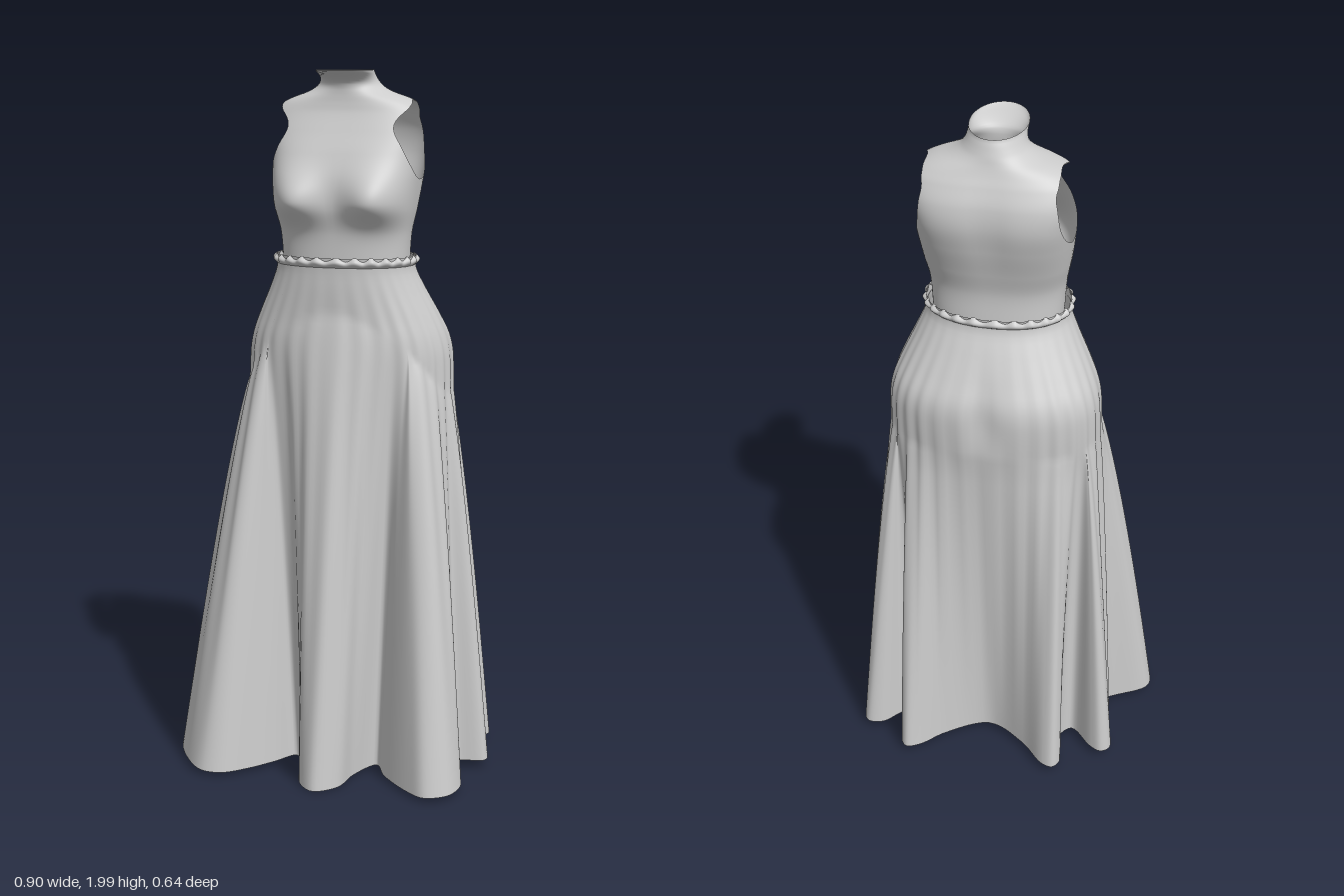
import * as THREE from 'three';
import { mergeVertices } from 'three/addons/utils/BufferGeometryUtils.js';

const CX = 0.02; // middle of the body
const spow = (v, p) => Math.sign(v) * Math.abs(v) ** p;
const bell = (v) => Math.exp(-v * v);

// Smooth lookup in a table of rows [y, ...values]
function lookup(table, y) {
  let i = 0;
  while (i < table.length - 2 && y > table[i + 1][0]) i++;
  const a = table[i], b = table[i + 1];
  const p = table[Math.max(i - 1, 0)], n = table[Math.min(i + 2, table.length - 1)];
  const h = b[0] - a[0], t = THREE.MathUtils.clamp((y - a[0]) / h, 0, 1);
  return a.slice(1).map((v, k) => {
    const c = k + 1;
    const ma = (b[c] - p[c]) / (b[0] - p[0]) * h, mb = (n[c] - a[c]) / (n[0] - a[0]) * h;
    return v * (2 * t ** 3 - 3 * t * t + 1) + ma * (t ** 3 - 2 * t * t + t)
      + b[c] * (3 * t * t - 2 * t ** 3) + mb * (t ** 3 - t * t);
  });
}

// Rounded body outline from [half width, front z, back z, squareness]
function outline([hw, zf, zb, e], a) {
  return [CX + hw * spow(Math.cos(a), 2 / e), (zf + zb) / 2 + (zf - zb) / 2 * spow(Math.sin(a), 2 / e)];
}

// Closed loft; parts where cut(p) is negative are trimmed away cleanly
function loft(rows, cols, point, cut = () => 1) {
  const grid = [];
  for (let i = 0; i <= rows; i++) {
    grid.push(Array.from({ length: cols }, (_, j) => new THREE.Vector3(...point(i / rows, j))));
  }
  const out = [];
  const addTri = (tri) => {
    const d = tri.map(cut), poly = [];
    tri.forEach((p, k) => {
      const m = (k + 1) % 3;
      if (d[k] >= 0) poly.push(p);
      if ((d[k] >= 0) !== (d[m] >= 0)) poly.push(p.clone().lerp(tri[m], d[k] / (d[k] - d[m])));
    });
    for (let k = 1; k + 1 < poly.length; k++) {
      for (const p of [poly[0], poly[k], poly[k + 1]]) out.push(p.x, p.y, p.z);
    }
  };
  for (let i = 0; i < rows; i++) {
    for (let j = 0; j < cols; j++) {
      const n = (j + 1) % cols;
      addTri([grid[i][j], grid[i + 1][j], grid[i + 1][n]]);
      addTri([grid[i][j], grid[i + 1][n], grid[i][n]]);
    }
  }
  const geo = new THREE.BufferGeometry();
  geo.setAttribute('position', new THREE.Float32BufferAttribute(out, 3));
  const merged = mergeVertices(geo, 1e-5);
  merged.computeVertexNormals();
  return merged;
}

// y, half width, front z, back z, squareness
const BODICE = [
  [1.46, 0.18, 0.112, -0.122, 2.3], [1.55, 0.186, 0.115, -0.122, 2.4],
  [1.62, 0.198, 0.125, -0.14, 2.7], [1.7, 0.207, 0.122, -0.165, 3],
  [1.77, 0.212, 0.1, -0.18, 3.3], [1.83, 0.22, 0.072, -0.175, 3.3],
  [1.88, 0.217, 0.05, -0.155, 2.9], [1.905, 0.195, 0.044, -0.142, 2.6],
  [1.92, 0.165, 0.042, -0.135, 2.4], [1.935, 0.122, 0.041, -0.129, 2.2],
  [1.95, 0.095, 0.042, -0.124, 2], [1.965, 0.082, 0.05, -0.118, 2],
  [1.98, 0.077, 0.08, -0.112, 2], [1.992, 0.077, 0.125, -0.106, 2],
];

const HIPS = [
  [0, 0.3, 0.13, -0.225, 2.3], [1.0, 0.297, 0.135, -0.228, 2.3], [1.2, 0.293, 0.135, -0.24, 2.4],
  [1.26, 0.282, 0.135, -0.234, 2.4], [1.32, 0.258, 0.135, -0.207, 2.3], [1.4, 0.22, 0.137, -0.168, 2.2],
  [1.455, 0.198, 0.137, -0.142, 2.2], [1.49, 0.2, 0.14, -0.143, 2.2],
];

// Hem outline as x, z pairs, from the front fold round by the right side
const HEM = [
  [0.02, 0.317], [-0.035, 0.27], [-0.055, 0.18], [-0.1, 0.1], [-0.145, 0.17], [-0.2, 0.24],
  [-0.265, 0.297], [-0.325, 0.3], [-0.39, 0.24], [-0.446, 0.14], [-0.44, 0.085], [-0.345, 0.025],
  [-0.31, 0], [-0.335, -0.025], [-0.3, -0.065], [-0.315, -0.1], [-0.36, -0.17], [-0.36, -0.208],
  [-0.335, -0.225], [-0.3, -0.208], [-0.235, -0.145], [-0.2, -0.19], [-0.22, -0.29], [-0.2, -0.318],
  [-0.165, -0.308], [-0.095, -0.235], [0.02, -0.17], [0.145, -0.235], [0.215, -0.3], [0.255, -0.315],
  [0.275, -0.288], [0.262, -0.23], [0.245, -0.155], [0.295, -0.17], [0.35, -0.225], [0.395, -0.23],
  [0.412, -0.2], [0.355, -0.11], [0.41, -0.085], [0.447, -0.03], [0.445, 0.01], [0.365, 0.035],
  [0.37, 0.085], [0.41, 0.155], [0.42, 0.205], [0.4, 0.265], [0.34, 0.295], [0.285, 0.265],
  [0.19, 0.175], [0.145, 0.1], [0.1, 0.18], [0.08, 0.27],
];

function bodiceGeometry() {
  const cols = 144;
  const point = (v, j) => {
    const y = 1.46 + v * 0.535;
    const a = j / cols * Math.PI * 2;
    let [x, z] = outline(lookup(BODICE, y), a);
    const dy = y - 1.64;
    if (z > -0.02) { // bust
      const front = THREE.MathUtils.smoothstep(z, -0.02, 0.09);
      z += 0.053 * front * bell((Math.abs(x - CX) - 0.115) / 0.075) * bell(dy / (dy > 0 ? 0.08 : 0.055));
    }
    if (z < -0.08) z += 0.008 * bell((x - CX) / 0.05) * bell((y - 1.76) / 0.12); // spine
    return [x, y, z];
  };
  // oval armholes through both sides
  const armhole = (p) => Math.max(
    ((p.z + 0.043 + (p.y - 1.807) * 0.12) / 0.107) ** 2 + ((p.y - 1.807) / 0.108) ** 2 - 1,
    (0.12 - Math.abs(p.x - CX)) * 10);
  return loft(110, cols, point, armhole);
}

function skirtGeometry() {
  const cols = 312;
  const curve = new THREE.CatmullRomCurve3(HEM.map(([x, z]) => new THREE.Vector3(x, 0, z)), true, 'centripetal');
  const hem = Array.from({ length: cols }, (_, j) => curve.getPoint(j / cols));
  // unwrapped hem angles, eased so the folds gather evenly into the hips
  const angles = [];
  hem.forEach((p, j) => {
    let a = Math.atan2(p.z + 0.03, p.x - CX);
    if (j) a = angles[j - 1] + Math.atan2(Math.sin(a - angles[j - 1]), Math.cos(a - angles[j - 1]));
    angles.push(a);
  });
  const at = (j) => angles[(j + cols) % cols] + Math.floor(j / cols) * Math.PI * 2;
  const eased = angles.map((_, j) => {
    let sum = 0;
    for (let k = -9; k <= 9; k++) sum += at(j + k);
    return sum / 19;
  });
  const point = (v, j) => {
    const a = eased[j], front = Math.max(0, Math.sin(a));
    const low = 0.025 * (1 - front ** 2);
    const y = low + (1.488 - low) * v;
    const s = outline(lookup(HIPS, y), a);
    let [x, z] = s;
    // cleft at the back of the hips
    z += 0.02 * bell((x - CX) / 0.035) * bell((y - 1.22) / 0.1) * (z < 0 ? 1 : 0);
    // folds grow from the hips down to the hem, starting higher at the front
    const start = 1.1 + 0.23 * front ** 2;
    const t = Math.max(0, (start - y) / (start - low)) ** 0.85;
    x += (hem[j].x - x) * t;
    z += (hem[j].z - z) * t;
    // soft gathers in the cloth
    const ripple = 0.004 * Math.sin(a * 30) * Math.sin(Math.PI * Math.min(1, Math.max(0, (1.47 - y) / 1.47)));
    return [x + ripple * Math.cos(a), y, z + ripple * Math.sin(a)];
  };
  return loft(90, cols, point);
}

// Scalloped frill round the waist
function frillGeometry() {
  const cols = 240;
  return loft(8, cols, (v, j) => {
    const a = j / cols * Math.PI * 2, wave = Math.sin(a * 26);
    const out = 0.009 * Math.sin(v * Math.PI) * (1 + 0.4 * wave);
    const [x, z] = outline(lookup(HIPS, 1.465), a);
    return [x + out * Math.cos(a), 1.462 + v * (0.024 + 0.005 * wave), z + out * Math.sin(a)];
  });
}

export function createModel() {
  const cloth = new THREE.MeshStandardMaterial({ color: 0xcccccc, side: THREE.DoubleSide });
  cloth.name = 'grey cloth';
  const model = new THREE.Group();
  model.name = 'dress';
  const parts = { bodice: bodiceGeometry(), skirt: skirtGeometry(), waistFrill: frillGeometry() };
  for (const [name, geometry] of Object.entries(parts)) {
    const mesh = new THREE.Mesh(geometry, cloth);
    mesh.name = name;
    model.add(mesh);
  }
  return model;
}
